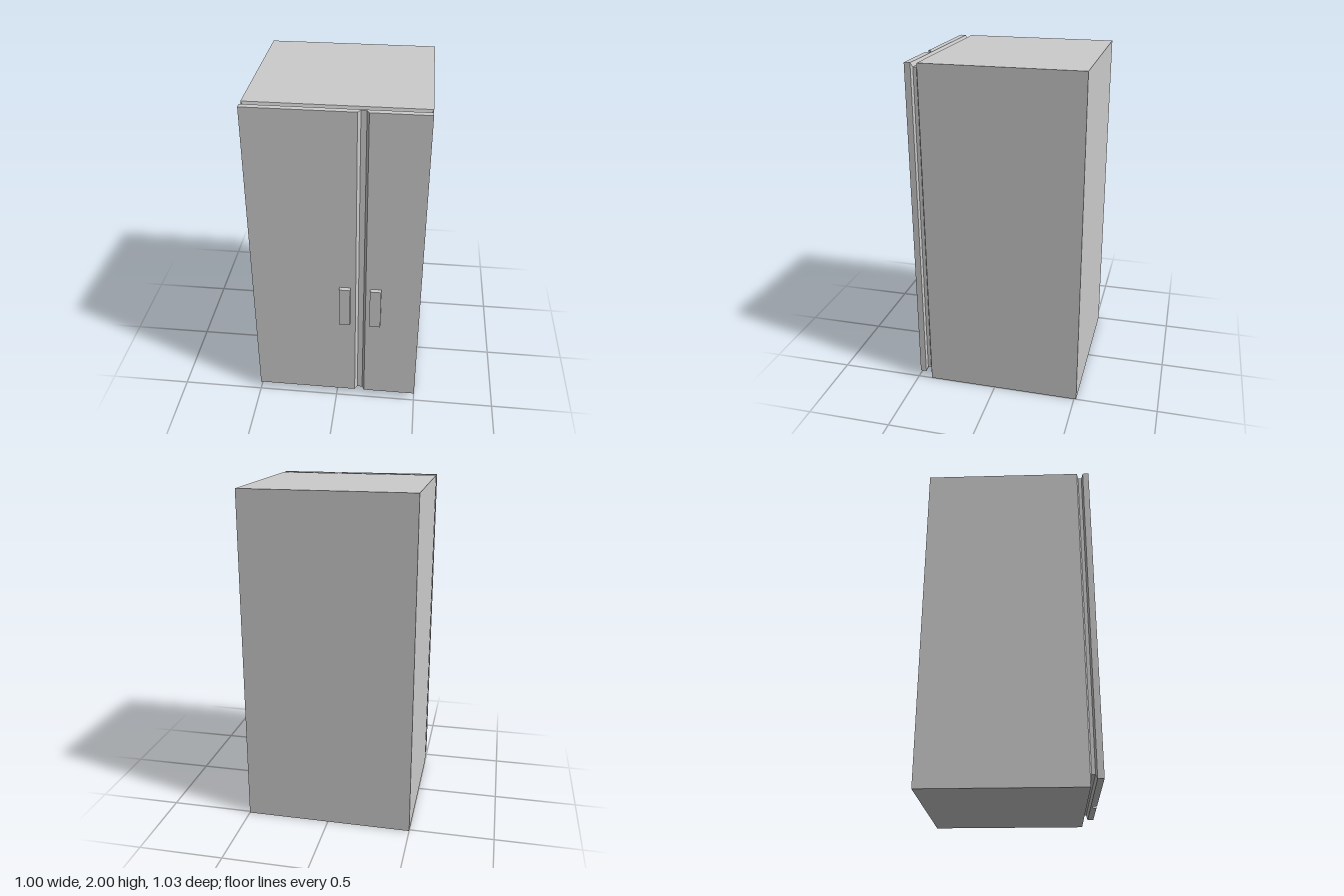
import * as THREE from 'three';

const material = new THREE.MeshStandardMaterial({ color: 0xcccccc, flatShading: true });

// Closed solid through rectangular rings [z, halfWidth, bottom, top], back to front
function ringSolid(rings) {
  const positions = [];
  const index = [];
  for (const [z, w, y0, y1] of rings) {
    positions.push(-w, y0, z, w, y0, z, w, y1, z, -w, y1, z);
  }
  for (let r = 0; r < rings.length - 1; r++) {
    for (let k = 0; k < 4; k++) {
      const a = r * 4 + k;
      const b = r * 4 + (k + 1) % 4;
      index.push(a, b, a + 4, b, b + 4, a + 4);
    }
  }
  const f = (rings.length - 1) * 4;
  index.push(0, 2, 1, 0, 3, 2, f, f + 1, f + 2, f, f + 2, f + 3);
  const indexed = new THREE.BufferGeometry();
  indexed.setAttribute('position', new THREE.Float32BufferAttribute(positions, 3));
  indexed.setIndex(index);
  const geometry = indexed.toNonIndexed();
  geometry.computeVertexNormals();
  return geometry;
}

export function createModel() {
  const group = new THREE.Group();
  const add = (name, geometry) => {
    const mesh = new THREE.Mesh(geometry, material);
    mesh.name = name;
    group.add(mesh);
    return mesh;
  };

  // Cabinet with the recessed neck behind the doors
  add('cabinet', ringSolid([
    [-0.513, 0.5, 0, 2],
    [0.413, 0.5, 0, 2],
    [0.421, 0.485, 0.07, 1.975],
    [0.441, 0.485, 0.07, 1.975],
    [0.45, 0.5, 0.045, 2],
  ]));

  // Door panel: plan outline with a tapered seam, extruded upwards
  const back = 0.45, seam = 0.46, front = 0.486;
  const outline = [
    [-0.5, back], [-0.5, front], [0.117, front], [0.132, seam],
    [0.163, seam], [0.177, front], [0.5, front], [0.5, back],
  ];
  const shape = new THREE.Shape(outline.map(([x, z]) => new THREE.Vector2(x, -z)));
  const doors = new THREE.ExtrudeGeometry(shape, { depth: 1.955, bevelEnabled: false });
  doors.rotateX(-Math.PI / 2);
  doors.translate(0, 0.045, 0);
  add('doors', doors);

  // Handles on either side of the seam
  for (const [name, x] of [['rightDoorHandle', 0.054], ['leftDoorHandle', 0.236]]) {
    const handle = add(name, new THREE.BoxGeometry(0.066, 0.265, 0.029));
    handle.position.set(x, 0.743, 0.4985);
  }

  return group;
}
